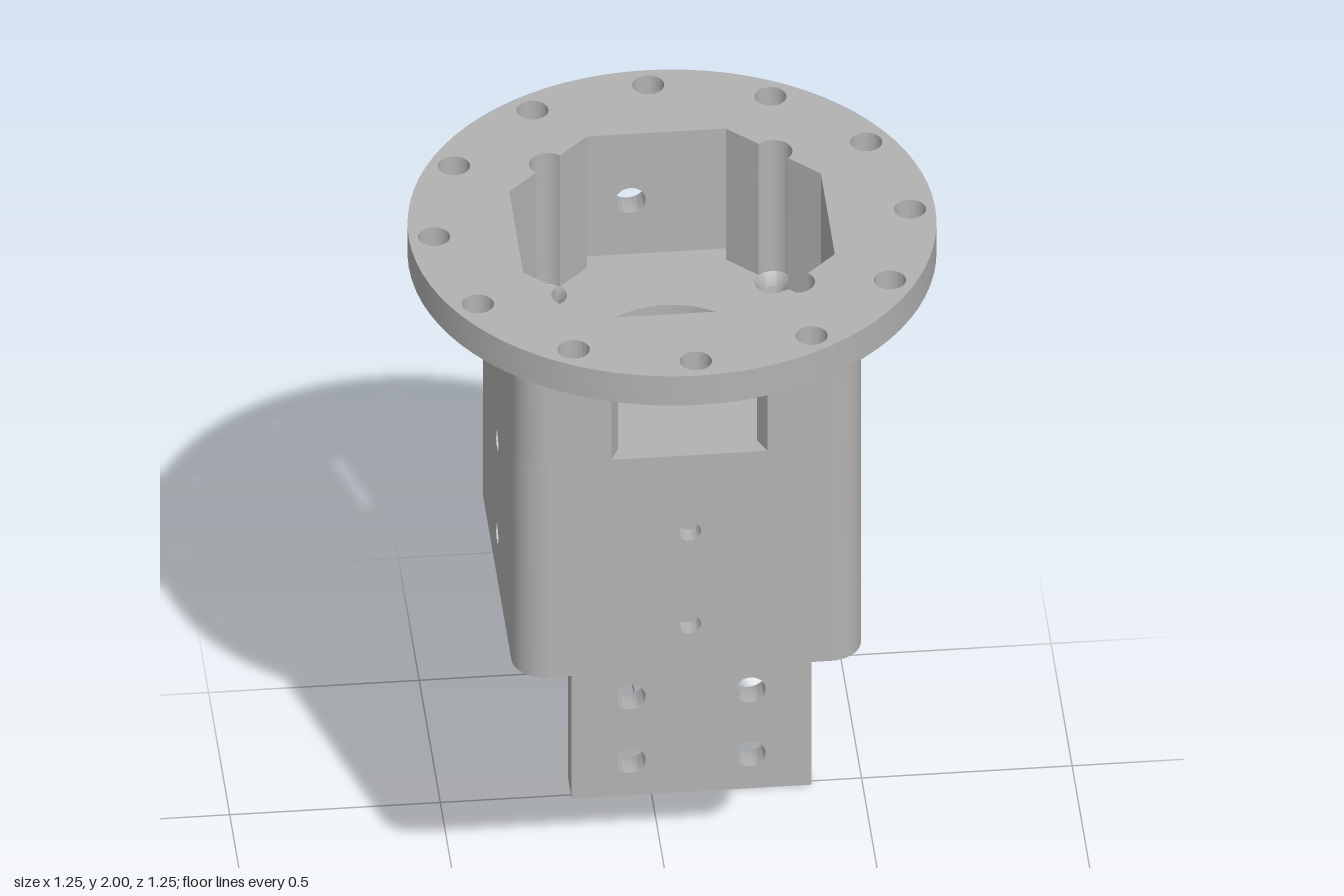
import * as THREE from 'three';
import { toCreasedNormals } from 'three/addons/utils/BufferGeometryUtils.js';

const grey = new THREE.MeshStandardMaterial({ color: 0xb2b2b2 });
grey.name = 'machined grey';

const OUT = 0.415, IN = 0.37, FLAT = 0.165, ROUND = 0.08; // body half widths, octagon flat, corner radius
const BOTTOM = 1.0, LEDGE = 1.62, UNDER = 1.915, TOP = 2.0; // main levels
const GROOVE = 0.045, SCREW = (IN + FLAT) / 2;

const smooth = (geo) => toCreasedNormals(geo, 0.6);
const V = (x, y) => new THREE.Vector2(x, y);

function addMesh(parent, name, geo) {
  const mesh = new THREE.Mesh(geo, grey);
  mesh.name = name;
  parent.add(mesh);
  return mesh;
}

function circle(x, y, r) {
  return new THREE.Path().absarc(x, y, r, 0, Math.PI * 2, false);
}

function rect(x0, y0, x1, y1) {
  return new THREE.Shape([V(x0, y0), V(x1, y0), V(x1, y1), V(x0, y1)]);
}

// extrude along z
function slab(shape, depth) {
  return smooth(new THREE.ExtrudeGeometry(shape, { depth, bevelEnabled: false, curveSegments: 24 }));
}

// extrude a plan outline upwards between two levels (outline y becomes -z)
function storey(shape, y0, y1) {
  return slab(shape, y1 - y0).rotateX(-Math.PI / 2).translate(0, y0, 0);
}

function arc(cx, cy, r, a0, a1, n) {
  return Array.from({ length: n + 1 }, (_, i) => {
    const a = a0 + ((a1 - a0) * i) / n;
    return V(cx + r * Math.cos(a), cy + r * Math.sin(a));
  });
}

// one diagonal of the octagon with its screw groove, turned by quarter turns
function octagonCorner(quarter) {
  const pts = [V(IN, FLAT), ...arc(SCREW, SCREW, GROOVE, -Math.PI / 4, Math.PI * 0.75, 16), V(FLAT, IN)];
  return pts.map((p) => p.rotateAround(V(0, 0), (quarter * Math.PI) / 2));
}

// ring that narrows a hole from R to r over depth h, then runs straight to depth d
function countersink(R, r, h, d) {
  const pts = [V(R, 0), V(r, -h)];
  if (d > h) pts.push(V(r, -d));
  pts.push(V(R, -d));
  return smooth(new THREE.LatheGeometry(pts, 40));
}

export function createModel() {
  const model = new THREE.Group();
  model.name = 'flangedBracket';

  // round flange with bolt circle and octagonal opening
  const flange = new THREE.Shape().absarc(0, 0, 0.625, 0, Math.PI * 2, false);
  flange.holes.push(new THREE.Path([0, 1, 2, 3].flatMap(octagonCorner)));
  for (let i = 0; i < 12; i++) {
    const a = (i * Math.PI) / 6;
    flange.holes.push(circle(0.565 * Math.cos(a), 0.565 * Math.sin(a), 0.038));
  }
  const flangeGeo = new THREE.ExtrudeGeometry(flange, { depth: TOP - UNDER, bevelEnabled: false, curveSegments: 40 });
  addMesh(model, 'flange', smooth(flangeGeo.rotateX(-Math.PI / 2).translate(0, UNDER, 0)));

  // upper body: two C-shaped halves leaving a window at front and back
  const c = OUT - ROUND;
  const half = new THREE.Shape([
    V(0.185, -OUT),
    ...arc(c, -c, ROUND, -Math.PI / 2, 0, 10),
    ...arc(c, c, ROUND, 0, Math.PI / 2, 10),
    V(0.185, OUT),
    ...[...octagonCorner(3), ...octagonCorner(0)].reverse(),
  ]);
  for (const side of [0, 1]) {
    addMesh(model, side ? 'upperBodyRight' : 'upperBodyLeft', storey(half, LEDGE, UNDER)).rotation.y = side * Math.PI;
  }

  // inner floor with centre opening and countersunk screw holes
  const floor = rect(-IN, -IN, IN, IN);
  floor.holes.push(circle(0, 0, 0.2));
  for (const x of [-SCREW, SCREW]) {
    for (const z of [-SCREW, SCREW]) {
      floor.holes.push(circle(x, z, GROOVE));
      addMesh(model, 'floorScrewHole', countersink(GROOVE, 0.027, 0.03, 0.085)).position.set(x, LEDGE, z);
    }
  }
  addMesh(model, 'floor', storey(floor, LEDGE - 0.085, LEDGE));

  // lower square tube: four drilled walls and rounded corners
  const wall = rect(-c, BOTTOM, c, LEDGE);
  for (const y of [1.13, 1.4]) wall.holes.push(circle(0, y, 0.027));
  const wallGeo = slab(wall, OUT - IN).translate(0, 0, IN);
  const corner = new THREE.Shape([
    ...arc(c, c, ROUND, 0, Math.PI / 2, 10),
    ...arc(c, c, ROUND - (OUT - IN), Math.PI / 2, 0, 10),
  ]);
  const cornerGeo = storey(corner, BOTTOM, LEDGE);
  for (let i = 0; i < 4; i++) {
    addMesh(model, 'tubeWall', wallGeo).rotation.y = (i * Math.PI) / 2;
    addMesh(model, 'tubeCorner', cornerGeo).rotation.y = (i * Math.PI) / 2;
  }

  // long mounting plate behind the body
  const BACK = -0.565, FRONT = -0.485, T = FRONT - BACK, EDGE = 0.285;
  const plate = rect(-0.19, 0, EDGE, UNDER);
  const drill = (name, x, y, R, r, h) => {
    plate.holes.push(circle(x, y, R));
    const ring = countersink(R, r, h, T).rotateX(-Math.PI / 2);
    addMesh(model, name, ring).position.set(x, y, BACK);
  };
  for (const y of [0.1, 0.285, 0.57, 1.725]) {
    for (const x of [-0.05, 0.235]) drill('plateScrewHole', x, y, 0.048, 0.036, 0.035);
  }
  for (const y of [1.13, 1.4]) drill('plateAccessHole', 0, y, 0.128, 0.082, T);
  addMesh(model, 'mountingPlate', slab(plate, T).translate(0, 0, BACK));

  // chamfered long edge of the plate
  const edge = new THREE.Shape([V(EDGE, -FRONT), V(0.38, -FRONT), V(0.38, 0.5), V(EDGE, -BACK)]);
  addMesh(model, 'plateChamferedEdge', storey(edge, 0, UNDER));

  return model;
}
